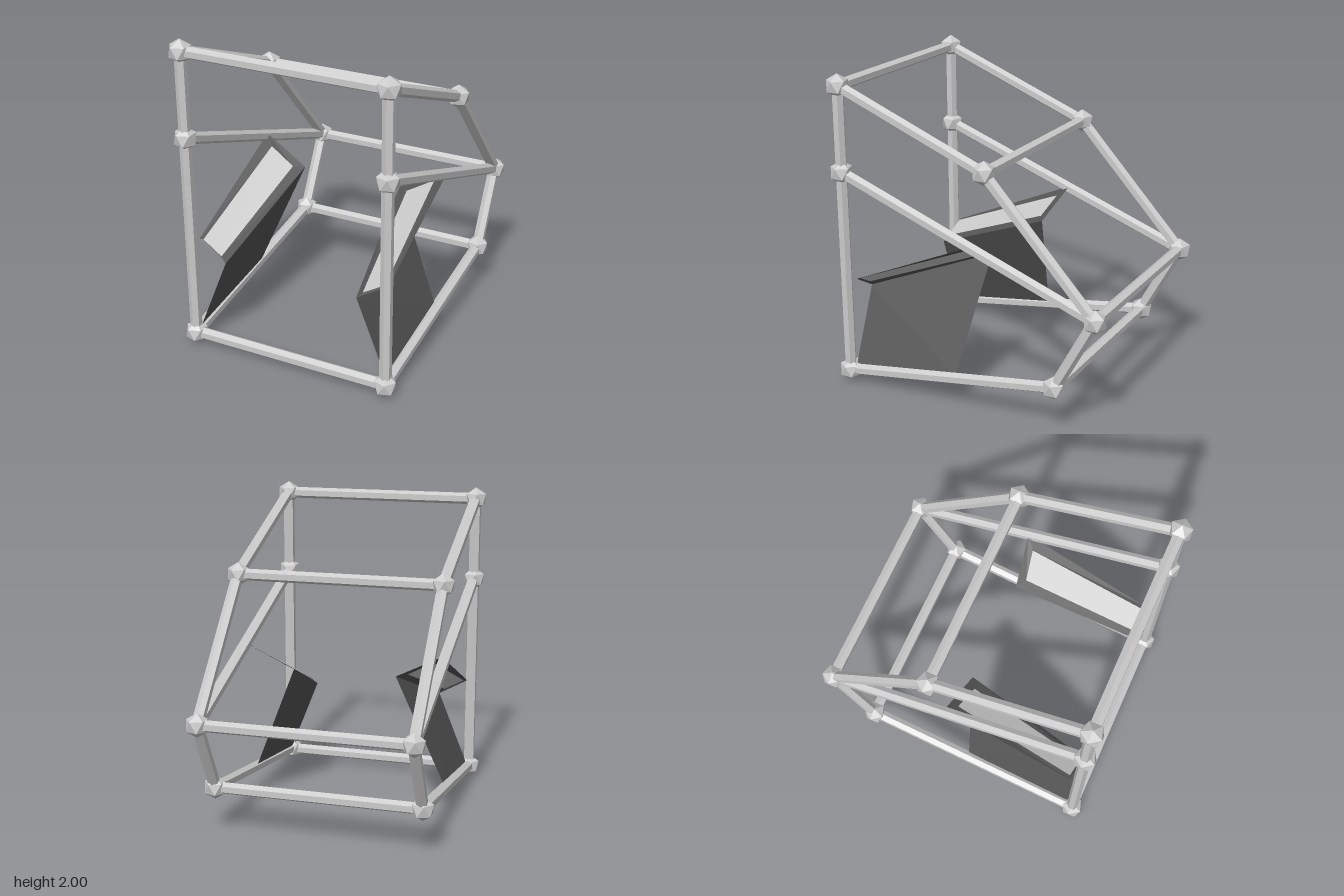
import * as THREE from 'three';

const HALF = 0.65;   // half distance between the two side frames
const NODE_R = 0.075;
const BAR_R = 0.037;

// Side frame joints as [y, z]
const joints = {
  frontBottom: [0.075, 0.85],
  frontMiddle: [1.39, 0.85],
  frontTop: [1.925, 0.85],
  roof: [1.53, -0.14],
  back: [0.76, -0.85],
  backBottom: [0.29, -0.6],
};
const sideBars = [
  ['frontBottom', 'frontMiddle'], ['frontMiddle', 'frontTop'], ['frontTop', 'roof'],
  ['roof', 'back'], ['back', 'backBottom'], ['backBottom', 'frontBottom'], ['frontMiddle', 'back'],
];
const crossBars = ['frontBottom', 'frontTop', 'roof', 'back', 'backBottom'];

const frameMat = new THREE.MeshStandardMaterial({ color: 0xcccccc, flatShading: true });
const screenMat = new THREE.MeshStandardMaterial({ color: 0xcccccc, flatShading: true, side: THREE.DoubleSide });
const panelMat = new THREE.MeshStandardMaterial({ color: 0x555555, flatShading: true, side: THREE.DoubleSide });

function add(parent, name, geometry, material) {
  const mesh = new THREE.Mesh(geometry, material);
  mesh.name = name;
  parent.add(mesh);
  return mesh;
}

// Flat four-cornered sheets, mirrored across x by sign s
function sheets(quads, s) {
  const pos = [];
  for (const [a, b, c, d] of quads) {
    const order = s > 0 ? [a, b, c, a, c, d] : [a, c, b, a, d, c];
    for (const [x, y, z] of order) pos.push(s * x, y, z);
  }
  const g = new THREE.BufferGeometry();
  g.setAttribute('position', new THREE.Float32BufferAttribute(pos, 3));
  g.computeVertexNormals();
  return g;
}

function sideFrame(s) {
  const group = new THREE.Group();
  group.name = s > 0 ? 'leftFrame' : 'rightFrame';

  // Icosahedral joints standing on a vertex, an upper corner pointing outward
  for (const [y, z] of Object.values(joints)) {
    const g = new THREE.IcosahedronGeometry(NODE_R);
    g.rotateX(-Math.atan((1 + Math.sqrt(5)) / 2)).rotateY(s * Math.PI / 2);
    add(group, 'joint', g, frameMat).position.set(s * HALF, y, z);
  }

  // Hexagonal bars between joints
  for (const [from, to] of sideBars) {
    const [y0, z0] = joints[from], [y1, z1] = joints[to];
    const g = new THREE.CylinderGeometry(BAR_R, BAR_R, Math.hypot(y1 - y0, z1 - z0), 6);
    g.rotateX(Math.atan2(z1 - z0, y1 - y0));
    add(group, 'sideBar', g, frameMat).position.set(s * HALF, (y0 + y1) / 2, (z0 + z1) / 2);
  }
  return group;
}

function sideConsole(s) {
  const group = new THREE.Group();
  group.name = s > 0 ? 'leftConsole' : 'rightConsole';

  // Corners: outer front, inner front, inner back, outer back
  const rim = [[0.635, 0.7, 0.785], [0.44, 0.587, 0.81], [0.333, 0.912, -0.012], [0.635, 1.07, -0.06]];
  const inset = [[0.61, 0.699, 0.78], [0.475, 0.623, 0.797], [0.4, 0.92, 0.03], [0.57, 1.015, 0.0]];
  const border = rim.map((p, i) => {
    const j = (i + 1) % 4;
    return [rim[j], p, inset[i], inset[j]];
  });
  add(group, 'consoleBorder', sheets(border, s), panelMat);
  add(group, 'consoleScreen', sheets([[...inset].reverse()], s), screenMat);

  // Open wall running from the inner edge down to the bottom rail
  const wall = [rim[1], rim[2], [0.635, 0.19, 0.083], [0.635, 0.1, 0.815]];
  add(group, 'consoleWall', sheets([wall], s), panelMat);
  return group;
}

export function createModel() {
  const model = new THREE.Group();
  model.name = 'cockpitFrame';
  for (const s of [1, -1]) model.add(sideFrame(s), sideConsole(s));

  // Bars joining the two side frames
  for (const key of crossBars) {
    const g = new THREE.CylinderGeometry(BAR_R, BAR_R, 2 * HALF, 6);
    g.rotateY(Math.PI / 2).rotateZ(Math.PI / 2);
    add(model, 'crossBar', g, frameMat).position.set(0, ...joints[key]);
  }
  return model;
}
